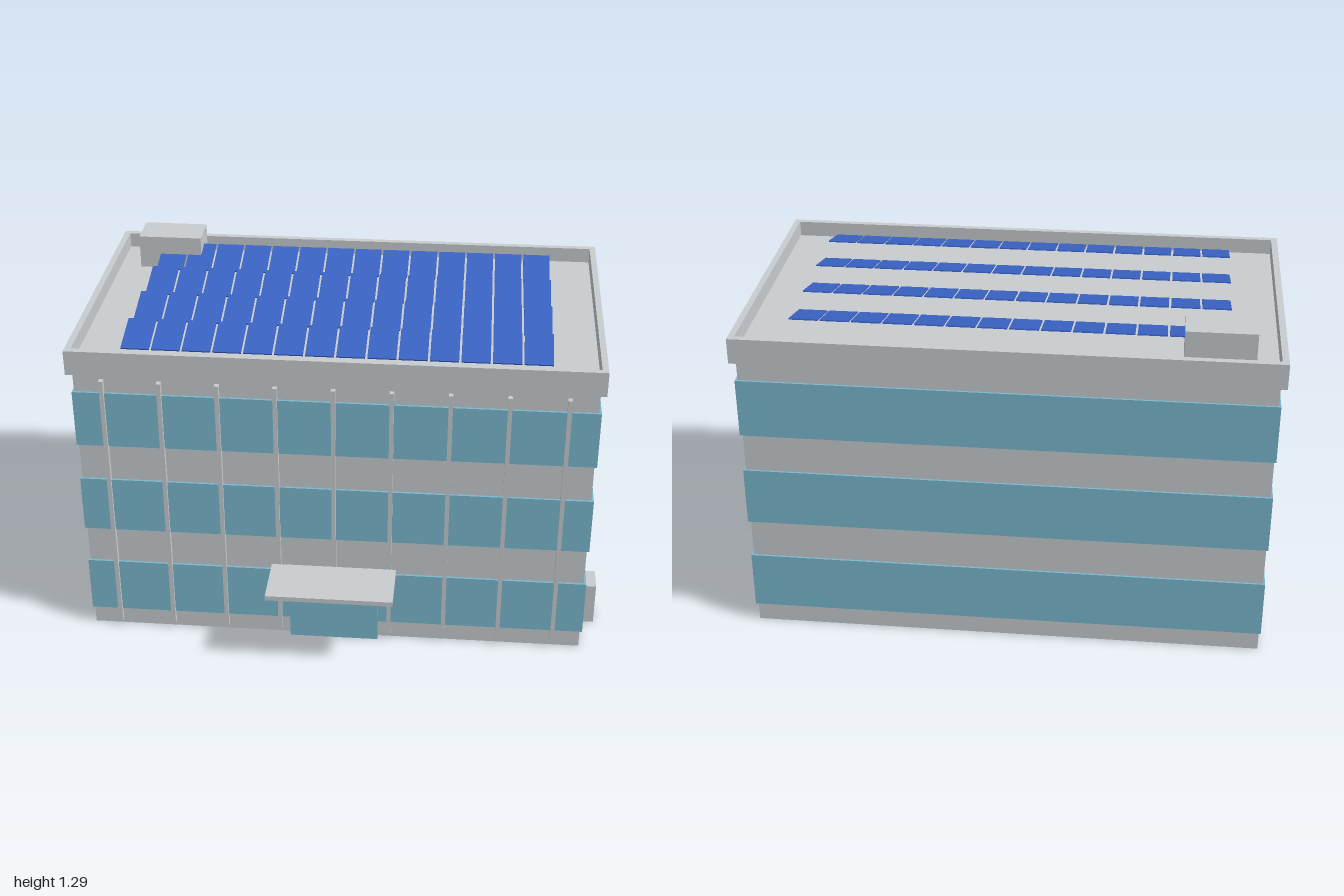
import * as THREE from 'three';

export function createModel() {
  const model = new THREE.Group();
  model.name = 'officeBuilding';

  const concrete = new THREE.MeshStandardMaterial({ color: 0xc8cccf });
  concrete.name = 'concrete grey';
  const glass = new THREE.MeshStandardMaterial({ color: 0x79b8cf });
  glass.name = 'window blue';
  const solar = new THREE.MeshStandardMaterial({ color: 0x3a63c4 });
  solar.name = 'solar blue';

  // Box given by its minimum and maximum on each axis
  function box(name, material, [x0, x1], [y0, y1], [z0, z1], parent = model) {
    const mesh = new THREE.Mesh(new THREE.BoxGeometry(x1 - x0, y1 - y0, z1 - z0), material);
    mesh.position.set((x0 + x1) / 2, (y0 + y1) / 2, (z0 + z1) / 2);
    mesh.name = name;
    parent.add(mesh);
    return mesh;
  }

  // Main block, its top is the sunken roof
  box('walls', concrete, [-0.978, 0.936], [0, 1.16], [-0.638, 0.427]);

  // Window bands around every storey
  for (const y of [0.075, 0.45, 0.822]) {
    box('windowBand', glass, [-0.985, 0.945], [y, y + 0.224], [-0.646, 0.436]);
  }

  // Parapet ring
  const rect = (Type, x0, x1, z0, z1) => {
    const s = new Type();
    s.moveTo(x0, -z1);
    s.lineTo(x1, -z1);
    s.lineTo(x1, -z0);
    s.lineTo(x0, -z0);
    s.closePath();
    return s;
  };
  const ring = rect(THREE.Shape, -1, 0.957, -0.661, 0.447);
  ring.holes.push(rect(THREE.Path, -0.976, 0.934, -0.636, 0.423));
  const parapetGeometry = new THREE.ExtrudeGeometry(ring, { depth: 0.096, bevelEnabled: false });
  parapetGeometry.rotateX(-Math.PI / 2);
  const parapet = new THREE.Mesh(parapetGeometry, concrete);
  parapet.position.y = 1.123;
  parapet.name = 'parapet';
  model.add(parapet);

  // Vertical fins on the front
  for (let i = 0; i < 9; i++) {
    const x = -0.021 + (i - 4) * 0.2128;
    box('facadeFin', concrete, [x - 0.008, x + 0.008], [0.024, 1.1], [0.427, 0.448]);
  }

  // Entrance
  box('entranceDoor', glass, [-0.194, 0.15], [0, 0.277], [0.445, 0.453]);
  box('entranceCanopy', concrete, [-0.261, 0.218], [0.313, 0.332], [0.447, 0.659]);

  // Service boxes on the roof and beside the wall
  box('roofUnit', concrete, [-0.893, -0.642], [1.16, 1.292], [-0.587, -0.439]);
  box('utilityCabinet', concrete, [0.947, 1], [0, 0.172], [0.161, 0.266]);

  // Tilted solar panels, four rows of fourteen
  const panelGeometry = new THREE.BoxGeometry(0.105, 0.005, 0.17);
  for (let row = 0; row < 4; row++) {
    const group = new THREE.Group();
    group.name = 'solarRow';
    group.position.set(-0.021, 1.215, 0.277 - row * 0.236);
    for (let i = 0; i < 14; i++) {
      const panel = new THREE.Mesh(panelGeometry, solar);
      panel.name = 'solarPanel';
      panel.position.x = (i - 6.5) * 0.1131;
      panel.rotation.x = 0.25;
      group.add(panel);
    }
    model.add(group);
  }

  return model;
}
